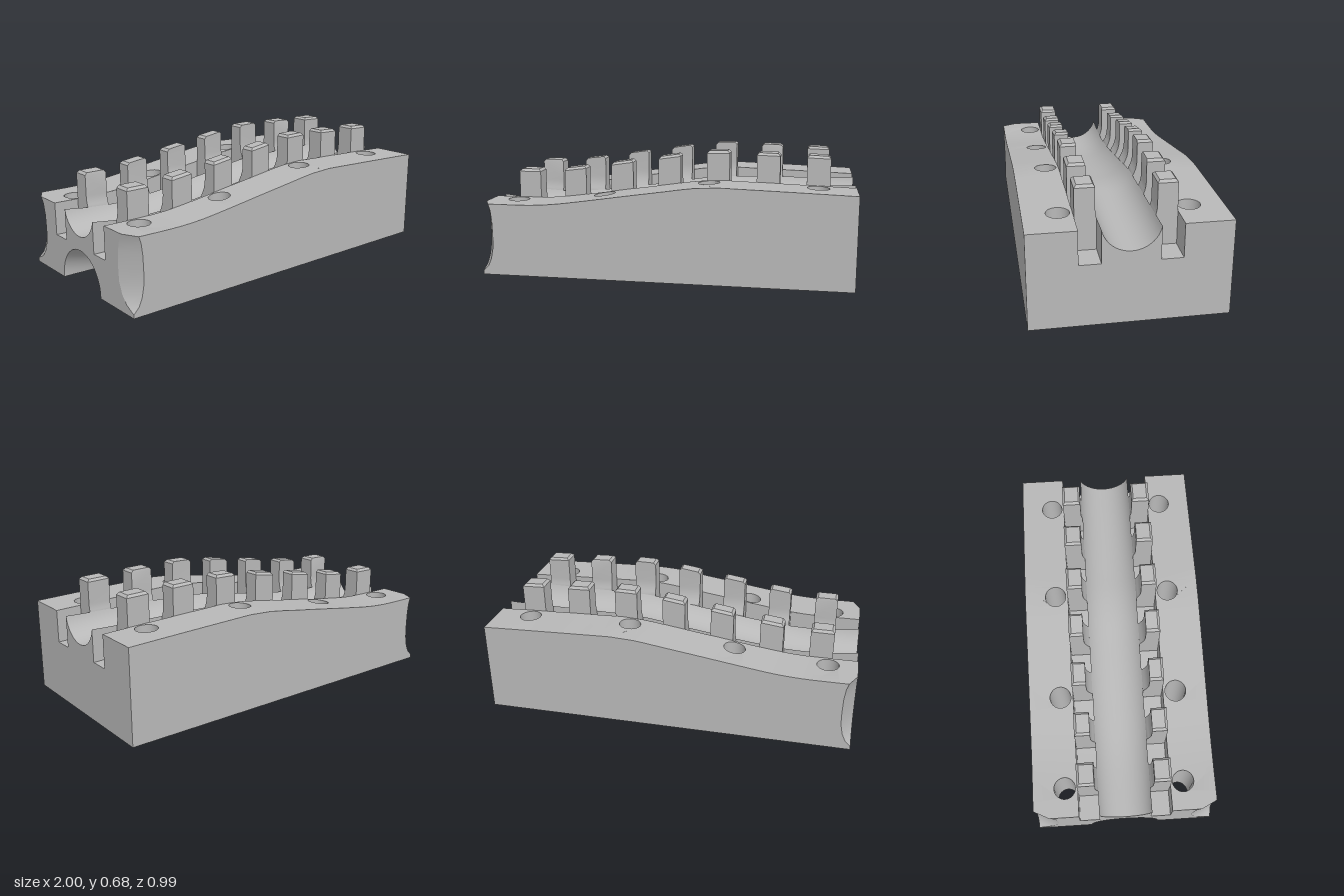
import * as THREE from 'three';
import { mergeGeometries, toCreasedNormals } from 'three/addons/utils/BufferGeometryUtils.js';

const W = 0.493, SLOT_OUT = 0.25, SLOT_IN = 0.142, HOLE_R = 0.058, HOLE_Z = 0.32;
const HOLE_X = [-0.845, -0.35, 0.225, 0.8];
const PEG_X = [-0.803, -0.537, -0.268, -0.002, 0.265, 0.535, 0.8];
const SCOOP_END = -0.12, SCOOP_R = 0.19;

// Smooth curve y(x) through a few points
function curve(p) {
  const slope = i => {
    const a = p[Math.max(i - 1, 0)], b = p[Math.min(i + 1, p.length - 1)];
    return (b[1] - a[1]) / (b[0] - a[0]);
  };
  return x => {
    let i = 0;
    while (i < p.length - 2 && x > p[i + 1][0]) i++;
    const d = p[i + 1][0] - p[i][0], t = (x - p[i][0]) / d, s = 1 - t;
    return p[i][1] * s * s * (1 + 2 * t) + slope(i) * d * t * s * s
      + p[i + 1][1] * t * t * (3 - 2 * t) - slope(i + 1) * d * t * t * s;
  };
}
const topY = curve([[-1, 0.395], [-0.75, 0.395], [-0.6, 0.404], [-0.4, 0.431], [-0.2, 0.461],
  [0, 0.49], [0.15, 0.512], [0.27, 0.52], [0.4, 0.517], [0.7, 0.508], [1, 0.498]]);
const channelR = curve([[-1, 0.146], [-0.7, 0.16], [-0.3, 0.172], [0.1, 0.17], [0.5, 0.156], [1, 0.145]]);

// Corner scallop: [height, depth along x]; it is twice as deep along z
const scallop = [[0.02, 0], [0.05, 0.03], [0.09, 0.048], [0.15, 0.06], [0.22, 0.062],
  [0.3, 0.06], [0.36, 0.053], [0.395, 0.042]];

const range = (n, a, b) => Array.from({ length: n + 1 }, (_, i) => a + (b - a) * i / n);
const creased = g => toCreasedNormals(g, 0.5);

// Surface through equal-length rows of points
function loft(rows) {
  const n = rows[0].length, index = [];
  for (let r = 0; r < rows.length - 1; r++) {
    for (let i = 0; i < n - 1; i++) {
      const a = r * n + i, b = a + n;
      index.push(a, a + 1, b, a + 1, b + 1, b);
    }
  }
  const g = new THREE.BufferGeometry();
  g.setAttribute('position', new THREE.Float32BufferAttribute(rows.flat(2), 3));
  g.setIndex(index);
  return creased(g);
}

// Flat outline with holes, placed in space by a rule
function sheet(points, holes, place) {
  const shape = new THREE.Shape(points.map(p => new THREE.Vector2(p[0], p[1])));
  for (const [x, y] of holes) {
    shape.holes.push(new THREE.Path().absarc(x, y, HOLE_R, 0, Math.PI * 2, true));
  }
  const g = new THREE.ShapeGeometry(shape, 16), p = g.attributes.position;
  g.deleteAttribute('uv');
  g.deleteAttribute('normal');
  for (let i = 0; i < p.count; i++) p.setXYZ(i, ...place(p.getX(i), p.getY(i)));
  return g;
}

// Cross-section of the slots and rounded channel, as [z, y]
function groove(x) {
  const t = topY(x), R = channelR(x), cy = t - 0.12 + R, A = Math.asin(SLOT_IN / R);
  const arc = range(24, -A, A).map(a => [R * Math.sin(a), cy - R * Math.cos(a)]);
  const left = [[-SLOT_OUT, t], [-SLOT_OUT, t - 0.175], [-SLOT_IN, t - 0.175]];
  return [...left, ...arc, ...left.map(([z, y]) => [-z, y]).reverse()];
}

// Cross-section of the underside scoop, as [z, y]
function scoop(x) {
  const cy = 0.2 * (SCOOP_END - x) / (SCOOP_END + 1) - SCOOP_R;
  const A = Math.acos(Math.min(1, -cy / SCOOP_R));
  return range(24, -A, A).map(a => [SCOOP_R * Math.sin(a), cy + SCOOP_R * Math.cos(a)]);
}

// Peg rising out of a slot, inner face trimmed by the channel, top bevelled and sloped
function peg(cx, s) {
  const t = topY(cx), R = channelR(cx), cy = t - 0.12 + R, h = 0.062, c = 0.013;
  const m = (topY(cx + 0.05) - topY(cx - 0.05)) / 0.1;
  const ring = (y, zi, zo, hx, k) =>
    [[-hx, zi], [hx, zi], [hx, zo], [-hx, zo], [-hx, zi]].map(([x, z]) => [cx + x, y + k * x, s * z]);
  const A = Math.asin(SLOT_IN / R);
  const rows = [ring(t - 0.175, SLOT_IN, SLOT_OUT, h, 0)];
  for (const a of range(4, A, Math.PI / 2)) {
    rows.push(ring(cy - R * Math.cos(a), R * Math.sin(a), SLOT_OUT, h, 0));
  }
  const zi = Math.max(R, 0.146 + c), zo = SLOT_OUT - c, top = t + 0.159;
  rows.push(ring(top - c, R, SLOT_OUT, h, m), ring(top, zi, zo, h - c, m));
  rows.push(rows[0].map(() => [cx, top, s * (zi + zo) / 2]));
  return loft(rows);
}

export function createModel() {
  const group = new THREE.Group();
  const grey = new THREE.MeshStandardMaterial({ color: 0xb8b8b8, side: THREE.DoubleSide });
  grey.name = 'plain grey';
  const add = (name, geometry) => {
    const mesh = new THREE.Mesh(geometry, grey);
    mesh.name = name;
    group.add(mesh);
  };
  const xs = range(60, -1, 1), scoopXs = range(40, -1, SCOOP_END);

  // Slots and channel along the top, scoop underneath
  add('channelAndSlots', loft(xs.map(x => groove(x).map(([z, y]) => [x, y, z]))));
  add('undersideScoop', loft(scoopXs.map(x => scoop(x).map(([z, y]) => [x, y, z]))));

  // Underside
  const edge = scoopXs.map(x => [x, scoop(x)[24][0]]);
  const holes = HOLE_X.flatMap(x => [[x, HOLE_Z], [x, -HOLE_Z]]);
  add('underside', creased(sheet([
    [1, -W], [-1, -W], ...edge.map(([x, z]) => [x, -z]),
    ...edge.slice(0, -1).reverse(), [-1, W], [1, W],
  ], holes, (x, z) => [x, 0, z])));

  // End faces
  add('tallEnd', creased(sheet([[-W, 0], [-W, topY(1)], ...groove(1), [W, topY(1)], [W, 0]],
    [], (z, y) => [1, y, z])));
  const cut = scallop.map(([y, a]) => [W - 2 * a, y]);
  add('lowEnd', creased(sheet([
    [-W, 0], ...cut.map(([z, y]) => [-z, y]), ...groove(-1),
    ...cut.slice().reverse(), [W, 0], ...scoop(-1).reverse(),
  ], [], (z, y) => [-1, y, z])));

  // Breaks along the shoulder, leaving one whole tile around each hole
  const breaks = [-1];
  for (const x of HOLE_X) {
    const from = breaks[breaks.length - 1];
    breaks.push(...range(6, from, x - 0.065).slice(1), x + 0.065);
  }
  breaks.push(...range(3, breaks[breaks.length - 1], 1).slice(1));

  for (const s of [1, -1]) {
    const side = s > 0 ? 'left' : 'right';
    // Side wall
    add(side + 'Wall', creased(sheet([
      [1, 0], [-1, 0], ...scallop.map(([y, a]) => [-1 + a, y]),
      ...breaks.filter(x => x > -0.95).map(x => [x, topY(x)]),
    ], [], (x, y) => [x, y, s * W])));

    // Shoulder top; the first tile carries the corner cut
    const tiles = [], first = breaks.findIndex(x => x > -0.95);
    const a = scallop[scallop.length - 1][1];
    for (let i = first - 1; i < breaks.length - 1; i++) {
      const start = i < first, x0 = start ? -1 : breaks[i], x1 = breaks[i + 1];
      const corner = start ? [[-1 + a, W], [-1, W - 2 * a]] : [[x0, W]];
      const hole = HOLE_X.filter(x => x > x0 && x < x1).map(x => [x, HOLE_Z]);
      tiles.push(sheet([[x0, SLOT_OUT], [x1, SLOT_OUT], [x1, W], ...corner], hole,
        (x, z) => [x, topY(x), s * z]));
    }
    add(side + 'Shoulder', creased(mergeGeometries(tiles)));

    // Hollowed corner
    add(side + 'CornerScallop', loft(scallop.map(([y, d]) =>
      [[-1 + d, y, s * W], [-1, y, s * (W - 2 * d)]])));

    // Bolt holes
    for (const x of HOLE_X) {
      const ring = f => range(32, 0, Math.PI * 2).map(t => {
        const px = x + HOLE_R * Math.cos(t);
        return [px, f * topY(px), s * HOLE_Z + HOLE_R * Math.sin(t)];
      });
      add(side + 'BoltHole', loft([ring(0), ring(1)]));
    }

    // Row of pegs
    for (const x of PEG_X) add(side + 'Peg', peg(x, s));
  }
  return group;
}
